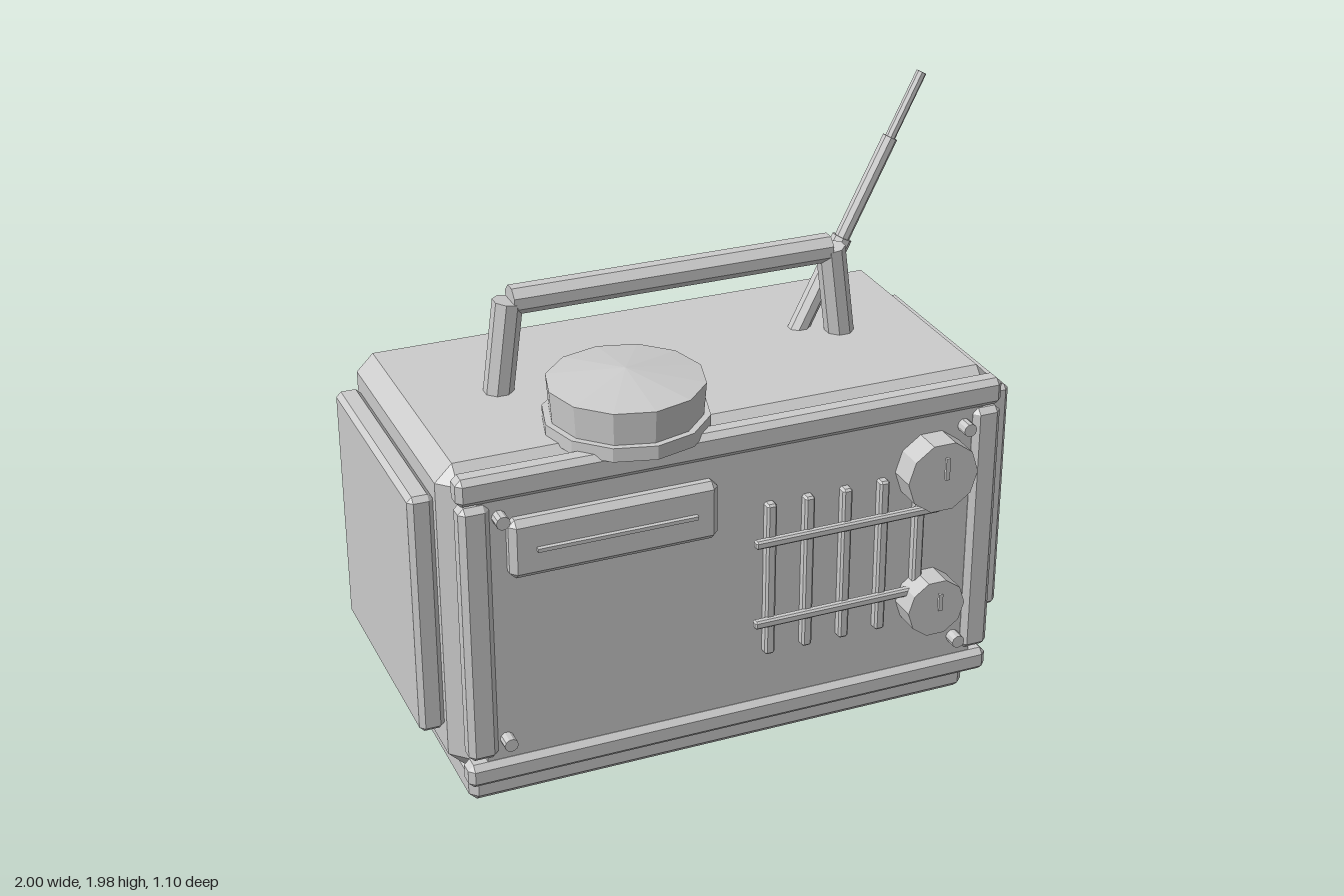
import * as THREE from 'three';
import { ConvexGeometry } from 'three/addons/geometries/ConvexGeometry.js';

const material = new THREE.MeshStandardMaterial({ color: 0xcccccc, flatShading: true });

function add(group, name, geometry) {
  const mesh = new THREE.Mesh(geometry, material);
  mesh.name = name;
  group.add(mesh);
  return mesh;
}

// Box with chamfered edges, given by its min/max on each axis
function chamferBox(group, name, [x0, x1], [y0, y1], [z0, z1], c) {
  const h = [(x1 - x0) / 2, (y1 - y0) / 2, (z1 - z0) / 2];
  const points = [];
  for (const sx of [-1, 1]) for (const sy of [-1, 1]) for (const sz of [-1, 1]) {
    for (let axis = 0; axis < 3; axis++) {
      const p = h.map((v, i) => (i === axis ? v : v - c));
      points.push(new THREE.Vector3(sx * p[0], sy * p[1], sz * p[2]));
    }
  }
  const mesh = add(group, name, new ConvexGeometry(points));
  mesh.position.set((x0 + x1) / 2, (y0 + y1) / 2, (z0 + z1) / 2);
  return mesh;
}

function box(group, name, [w, h, d], [x, y, z]) {
  add(group, name, new THREE.BoxGeometry(w, h, d)).position.set(x, y, z);
}

// Straight rod between two points
function rod(group, name, a, b, r0, r1, sides) {
  const from = new THREE.Vector3(...a);
  const dir = new THREE.Vector3(...b).sub(from);
  const mesh = add(group, name, new THREE.CylinderGeometry(r1, r0, dir.length(), sides, 1, false, Math.PI / sides));
  mesh.position.copy(from).addScaledVector(dir, 0.5);
  mesh.quaternion.setFromUnitVectors(new THREE.Vector3(0, 1, 0), dir.normalize());
  return mesh;
}

// Short cylinder facing the front
function frontDisc(group, name, r, sides, x, y, z0, z1) {
  const g = new THREE.CylinderGeometry(r, r, z1 - z0, sides, 1, false, Math.PI / 2).rotateX(Math.PI / 2);
  add(group, name, g).position.set(x, y, (z0 + z1) / 2);
}

export function createModel() {
  const model = new THREE.Group();
  model.name = 'radio';

  // Case, base and side panels
  chamferBox(model, 'case', [-0.92, 0.92], [0.125, 1.18], [-0.55, 0.375], 0.055);
  chamferBox(model, 'base', [-0.865, 0.865], [0, 0.12], [-0.525, 0.36], 0.025);
  for (const s of [-1, 1]) {
    const span = s > 0 ? [0.92, 1] : [-1, -0.92];
    chamferBox(model, s > 0 ? 'leftSidePanel' : 'rightSidePanel', span, [0.265, 1.08], [-0.48, 0.31], 0.016);
  }

  // Front panel and its frame
  box(model, 'frontPanel', [1.66, 0.92, 0.07], [0, 0.65, 0.4]);
  chamferBox(model, 'topRail', [-0.895, 0.89], [1.095, 1.185], [0.38, 0.455], 0.018);
  chamferBox(model, 'bottomRail', [-0.895, 0.89], [0.12, 0.2], [0.38, 0.455], 0.018);
  for (const s of [-1, 1]) {
    const span = s > 0 ? [0.795, 0.89] : [-0.89, -0.795];
    chamferBox(model, 'uprightRail', span, [0.215, 1.09], [0.38, 0.455], 0.018);
    for (const y of [0.27, 1.04]) frontDisc(model, 'screw', 0.022, 10, s * 0.766, y, 0.42, 0.48);
  }

  // Tuning display
  chamferBox(model, 'displayPlate', [-0.745, -0.08], [0.835, 1.03], [0.4, 0.475], 0.02);
  box(model, 'displayNeedle', [0.51, 0.012, 0.02], [-0.41, 0.932, 0.48]);

  // Speaker grille
  const grille = new THREE.Group();
  grille.name = 'grille';
  model.add(grille);
  for (let i = 0; i < 5; i++) {
    const x = 0.1 + i * 0.128;
    chamferBox(grille, 'grilleBar', [x - 0.017, x + 0.017], [0.375, 0.91], [0.425, 0.465], 0.007);
  }
  for (const y of [0.785, 0.5]) {
    chamferBox(grille, 'grilleCrossbar', [0.04, 0.675], [y - 0.014, y + 0.014], [0.455, 0.482], 0.006);
  }

  // Knobs with pointer marks
  for (const [y, r, mark] of [[0.92, 0.121, 0.075], [0.45, 0.1, 0.06]]) {
    frontDisc(model, 'knob', r, 10, 0.652, y, 0.42, 0.526);
    box(model, 'knobPointer', [0.014, mark, 0.01], [0.652, y + r * 0.35, 0.548]);
  }

  // Dial on top: flange, wall and shallow cone
  const dial = add(model, 'topDial', new THREE.LatheGeometry([
    [0, 1.17], [0.257, 1.17], [0.257, 1.215], [0.236, 1.215], [0.244, 1.32], [0, 1.355],
  ].map(([r, y]) => new THREE.Vector2(r, y)), 12));
  dial.position.set(-0.295, 0, 0.256);

  // Carrying handle
  const handle = new THREE.Group();
  handle.name = 'handle';
  model.add(handle);
  for (const s of [-1, 1]) {
    rod(handle, 'handlePost', [s * 0.59, 1.12, -0.087], [s * 0.543, 1.475, -0.087], 0.048, 0.048, 8);
  }
  rod(handle, 'handleGrip', [-0.535, 1.475, -0.087], [0.535, 1.475, -0.087], 0.047, 0.047, 8);

  // Telescopic antenna, each section thinner than the last
  const antenna = new THREE.Group();
  antenna.name = 'antenna';
  model.add(antenna);
  const start = new THREE.Vector3(0.47, 1.175, -0.157);
  const end = new THREE.Vector3(0.902, 1.977, -0.196);
  const at = (t) => start.clone().lerp(end, t).toArray();
  [[-0.03, 0.36, 0.034], [0.34, 0.75, 0.025], [0.73, 1, 0.017]].forEach(([t0, t1, r]) => {
    rod(antenna, 'antennaSection', at(t0), at(t1), r, r, 8);
  });

  return model;
}
